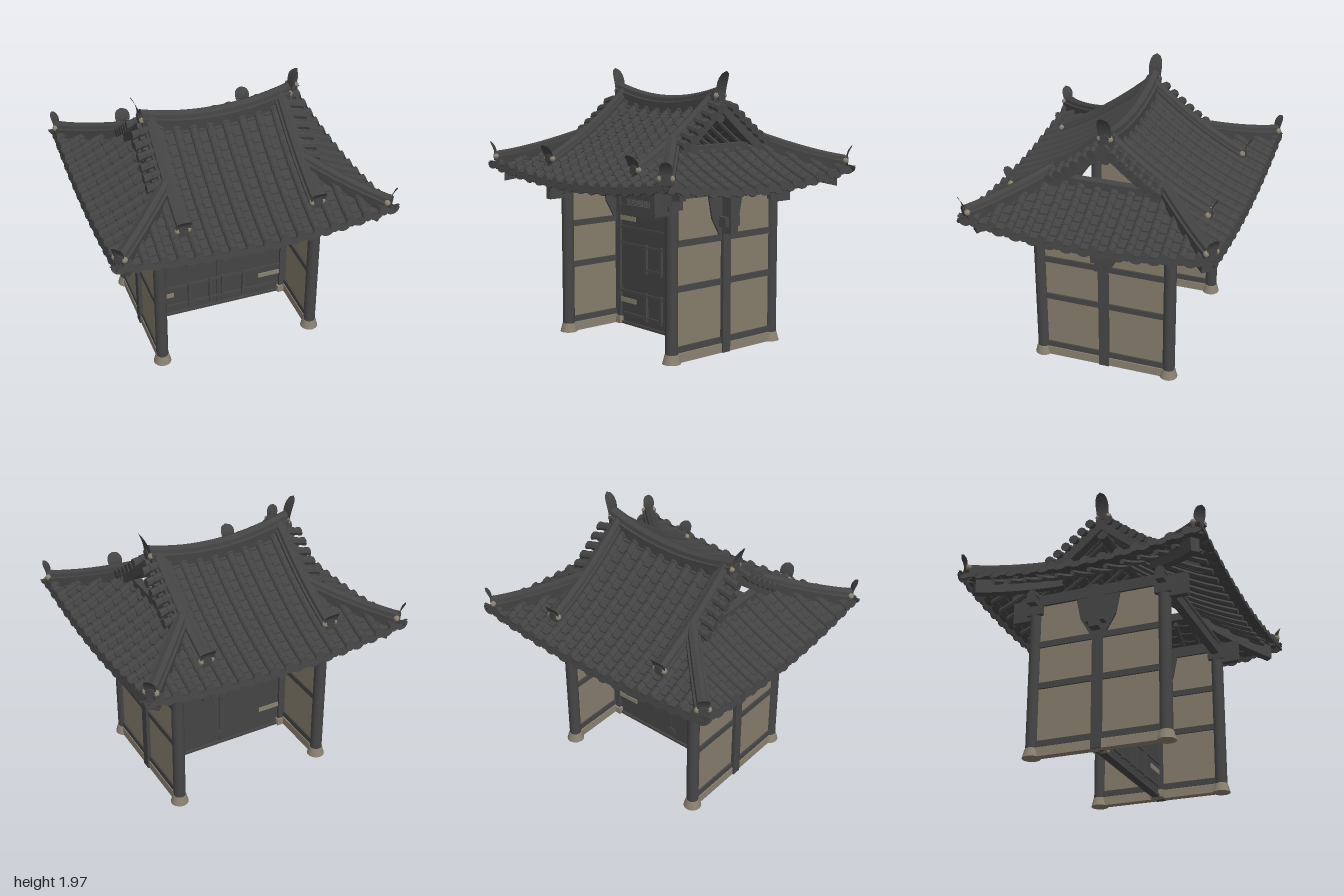
import * as THREE from 'three';
import { mergeGeometries } from 'three/addons/utils/BufferGeometryUtils.js';

const mat = (name, color, side = THREE.FrontSide) => {
  const m = new THREE.MeshStandardMaterial({ color, side });
  m.name = name;
  return m;
};
const V = (x, y, z) => new THREE.Vector3(x, y, z);
const EX = 0.98, EZ = 0.88, GABLE = 0.5, PITCH = 0.12;

// Curved roof heights: front/back slopes and the two side slopes
const rise = t => 1.19 + 0.317 * t + 0.193 * t * t;
const mainY = (x, z) => { const t = (EZ - Math.abs(z)) / EZ; return rise(t) + x * x * (0.09 + 0.19 * t * t); };
const sideY = (x, z) => { const t = (EX - Math.abs(x)) / EZ; return rise(t) + z * z * (0.112 + 0.4 * t * t); };

// Sweeps a cross-section [across, up] along points, flat shaded with end caps
function sweep(pts, side, section, scales) {
  const pos = [], n = section.length;
  const rings = pts.map((p, i) => section.map(([u, v]) => {
    const s = scales ? scales[i] : 1;
    return p.clone().addScaledVector(side, u * s).add(V(0, v * s, 0));
  }));
  const tri = (...c) => c.forEach(p => pos.push(p.x, p.y, p.z));
  for (let i = 0; i + 1 < rings.length; i++) for (let j = 0; j + 1 < n; j++) {
    const a = rings[i], b = rings[i + 1];
    tri(a[j], b[j], b[j + 1]);
    tri(a[j], b[j + 1], a[j + 1]);
  }
  for (const r of [rings[0], rings[rings.length - 1]])
    for (let j = 1; j + 1 < n; j++) tri(r[0], r[j], r[j + 1]);
  const g = new THREE.BufferGeometry();
  g.setAttribute('position', new THREE.Float32BufferAttribute(pos, 3));
  g.computeVertexNormals();
  return g;
}
const plain = g => { const p = g.index ? g.toNonIndexed() : g; p.deleteAttribute('uv'); return p; };
const line = (n, f) => Array.from({ length: n + 1 }, (_, i) => f(i / n));
const arc = (r, n) => line(n, t => [-r * Math.cos(Math.PI * t), r * Math.sin(Math.PI * t)]);
const loop = (w, y0, y1) => [[-w, y0], [-w, y1], [w, y1], [w, y0], [-w, y0]];

export function createModel() {
  const root = new THREE.Group();
  const wood = mat('dark timber', 0x464646, THREE.DoubleSide);
  const tile = mat('roof tile', 0x434343, THREE.DoubleSide);
  const door = mat('door board', 0x444444);
  const plaster = mat('plaster', 0x867d6c);
  const stone = mat('pale stone', 0x8a8171);
  const add = (name, geo, m, x = 0, y = 0, z = 0) => {
    const o = new THREE.Mesh(geo, m);
    o.name = name; o.position.set(x, y, z); root.add(o);
    return o;
  };
  // Box given by its limits
  const box = (name, m, x0, x1, y0, y1, z0, z1) => add(name, new THREE.BoxGeometry(x1 - x0, y1 - y0, z1 - z0), m,
    (x0 + x1) / 2, (y0 + y1) / 2, (z0 + z1) / 2);

  // Corner posts, stone bases and bracket blocks
  for (const sx of [-1, 1]) for (const sz of [-1, 1]) {
    const x = sx * 0.585, z = sz * 0.48;
    add('postBase', new THREE.CylinderGeometry(0.048, 0.065, 0.065, 20), stone, x, 0.0325, z);
    add('cornerPost', new THREE.CylinderGeometry(0.044, 0.044, 1.1, 20), wood, x, 0.6, z);
    box('capital', wood, x - 0.045, x + 0.045, 1.05, 1.12, z - 0.06, z + 0.06);
    box('bracketAlong', wood, x - 0.11, x + 0.11, 1.12, 1.17, z - 0.03, z + 0.03);
    box('beamEnd', wood, x - 0.025, x + 0.025, 1.02, 1.18, z + sz * 0.08 - 0.09, z + sz * 0.08 + 0.09);
  }

  // Plastered side walls with rails, centre post and flared bracket
  for (const s of [-1, 1]) {
    const x = s * 0.585;
    box('sideSill', stone, x - 0.03, x + 0.03, 0, 0.065, -0.44, 0.44);
    box('sidePanel', plaster, x - 0.012, x + 0.012, 0.065, 1.12, -0.45, 0.45);
    for (const y of [0.09, 0.51, 0.82]) box('sideRail', wood, x - 0.025, x + 0.025, y - 0.022, y + 0.022, -0.45, 0.45);
    box('sideTopBeam', wood, x - 0.03, x + 0.03, 1.12, 1.2, -0.5, 0.5);
    box('centrePost', wood, x - 0.04, x + 0.04, 0, 1.14, -0.036, 0.036);
    box('centreBase', stone, x - s * 0.04 - 0.04, x - s * 0.04 + 0.04, 0, 0.055, -0.05, 0.05);
    const flare = new THREE.Shape([[-0.165, 1.13], [-0.13, 0.96], [-0.06, 0.84], [0.06, 0.84], [0.13, 0.96], [0.165, 1.13]]
      .map(p => new THREE.Vector2(...p)).reverse());
    const f = add('flaredBracket', new THREE.ExtrudeGeometry(flare, { depth: 0.05, bevelEnabled: false }), wood, x - 0.025);
    f.rotation.y = Math.PI / 2;
    box('bracketBoard', wood, s > 0 ? 0.54 : -0.695, s > 0 ? 0.695 : -0.54, 0.85, 1.17, -0.035, 0.035);
    box('bracketBlock', wood, x + s * 0.06 - 0.03, x + s * 0.06 + 0.03, 0.9, 0.97, -0.07, 0.07);
    // Long beams and round purlins over the posts
    box('longBeam', wood, -0.63, 0.63, 1.09, 1.16, s * 0.48 - 0.03, s * 0.48 + 0.03);
    add('purlin', new THREE.CylinderGeometry(0.035, 0.035, 1.36, 14), wood, 0, 1.19, s * 0.48).rotation.z = Math.PI / 2;
    box('doorJamb', wood, s * 0.545 - 0.025, s * 0.545 + 0.025, 0, 1.08, -0.035, 0.035);
  }

  // Door leaves with ribs, hinge straps and handles
  for (const s of [-1, 1]) {
    box('doorLeaf', door, s * 0.266 - 0.264, s * 0.266 + 0.264, 0.015, 0.85, -0.015, 0.015);
    for (const y of [0.19, 0.83]) for (const z of [-0.022, 0.022])
      box('hingeStrap', stone, s * 0.445 - 0.1, s * 0.445 + 0.1, y - 0.018, y + 0.018, z - 0.004, z + 0.004);
    for (const x of [0.05, 0.22]) for (const y of [0.17, 0.54])
      box('doorRib', wood, s * x - 0.011, s * x + 0.011, y - 0.11, y + 0.11, 0.014, 0.036);
    box('doorBar', wood, s * 0.14 - 0.01, s * 0.14 + 0.01, 0.45, 0.66, -0.035, -0.014);
    add('handlePlate', new THREE.CylinderGeometry(0.03, 0.03, 0.008, 16), wood, s * 0.04, 0.46, -0.019).rotation.x = Math.PI / 2;
    add('handleRing', new THREE.TorusGeometry(0.024, 0.005, 6, 18), wood, s * 0.04, 0.43, -0.028);
  }
  for (const [y, w] of [[0.76, 0.53], [0.63, 0.53], [0.455, 0.25], [0.26, 0.53], [0.085, 0.5]])
    box('doorRail', wood, -w, w, y - 0.01, y + 0.01, 0.01, 0.026);
  add('doorLatch', new THREE.CylinderGeometry(0.045, 0.045, 0.008, 16, 1, false, Math.PI / 2, Math.PI), wood, 0, 0.07, -0.02).rotation.x = Math.PI / 2;
  box('threshold', wood, -0.53, 0.53, 0, 0.02, -0.03, 0.03);
  box('lowerLintel', wood, -0.54, 0.54, 0.85, 0.935, -0.03, 0.03);
  box('upperLintel', wood, -0.54, 0.54, 0.995, 1.085, -0.035, 0.035);

  // Open lattice between the lintels
  for (const s of [-1, 1]) box('latticeEnd', wood, s * 0.495 - 0.045, s * 0.495 + 0.045, 0.93, 1, -0.02, 0.02);
  const slats = [];
  for (let i = 0; i < 48; i++) for (const s of [-1, 1]) {
    const g = new THREE.BoxGeometry(0.0045, 0.085, 0.006);
    g.rotateZ(s * Math.PI / 4);
    g.translate(-0.45 + i * 0.9 / 47, 0.965, s * 0.003);
    slats.push(g);
  }
  add('lattice', mergeGeometries(slats), wood);

  // Roof rows: half-round tiles, troughs between them, eave ends and rafters
  const rounds = [], troughs = [], ends = [], rafters = [];
  const half = arc(1, 6), trough = [[-0.062, 0.008], [-0.025, -0.008], [0.025, -0.008], [0.062, 0.008]];
  const rafterSection = line(6, t => [0.02 * Math.cos(t * 2 * Math.PI), 0.02 * Math.sin(t * 2 * Math.PI) - 0.055]);
  // at(d) is the roof point at distance d from the centre, out is the downhill direction
  function row(at, start, eave, out, kind) {
    const side = V(Math.abs(out.z), 0, Math.abs(out.x)), yaw = Math.atan2(out.x, out.z);
    if (kind === 'rafter') {
      if (eave - 0.07 - start > 0.04) rafters.push(sweep(line(6, t => at(start + (eave - 0.07 - start) * t)), side, rafterSection));
      return;
    }
    const pts = [], scales = [], n = Math.max(1, Math.round((eave - start) / 0.068));
    for (let i = 0; i < n; i++) for (const k of [0, 1]) {
      const p = at(start + (eave - start) * (i + k) / n);
      p.y += kind === 'trough' ? 0.01 * k - 0.004 : 0;
      pts.push(p);
      scales.push(kind === 'trough' ? 1 : 0.029 + 0.006 * k);
    }
    const tip = at(eave);
    let g;
    if (kind === 'round') {
      rounds.push(sweep(pts, side, half, scales));
      g = new THREE.CylinderGeometry(0.036, 0.036, 0.014, 12).rotateX(Math.PI / 2);
    } else {
      troughs.push(sweep(pts, side, trough));
      g = new THREE.CylinderGeometry(0.056, 0.056, 0.01, 12, 1, false, -Math.PI / 2, Math.PI).rotateX(Math.PI / 2).scale(1, 0.85, 1);
    }
    g.rotateX(-0.25).rotateY(yaw).translate(tip.x, tip.y + 0.005, tip.z);
    ends.push(plain(g));
  }
  for (const s of [-1, 1]) {
    for (let k = -16; k <= 16; k++) {
      const c = k * PITCH / 2, kind = k % 2 ? 'round' : 'trough', a = Math.abs(c);
      const mainRow = (kd, x) => row(d => V(x, mainY(x, d), s * d), Math.abs(x) < GABLE ? 0 : Math.abs(x) - 0.1, EZ, V(0, 0, s), kd);
      mainRow(kind, c);
      if (k % 2) mainRow('rafter', c * 0.98);
      if (a < 0.87) {
        const sideRow = kd => row(d => V(s * d, sideY(d, c), c), Math.max(GABLE, a + 0.1), EX, V(s, 0, 0), kd);
        sideRow(kind);
        if (k % 2) sideRow('rafter');
      }
    }
    // Short tiles along the gable edges
    for (const sz of [-1, 1]) for (let i = 0; i < 6; i++) {
      const z = 0.07 + i * 0.062, y = mainY(0.5, z);
      const pts = [[0.5, 0.03], [0.57, 0.015], [0.57, 0.015], [0.625, 0]].map(([x, dy]) => V(s * x, y + dy, sz * z));
      rounds.push(sweep(pts, V(0, 0, 1), line(8, t => [Math.cos(t * 2 * Math.PI), Math.sin(t * 2 * Math.PI)]), [0.026, 0.033, 0.027, 0.034]));
    }
    rafters.push(sweep(line(6, t => V(s * 0.53, mainY(0.5, t * 0.38) - 0.04, t * 0.38)), V(1, 0, 0), loop(0.04, -0.05, 0.03)));
    rafters.push(sweep(line(6, t => V(s * 0.53, mainY(0.5, t * 0.38) - 0.04, -t * 0.38)), V(1, 0, 0), loop(0.04, -0.05, 0.03)));
    box('gableBeam', wood, s * 0.51 - 0.03, s * 0.51 + 0.03, 1.4, 1.46, -0.3, 0.3);
  }
  add('roundTiles', mergeGeometries(rounds), tile);
  add('troughTiles', mergeGeometries(troughs), tile);
  add('eaveTiles', mergeGeometries(ends), tile);
  add('rafters', mergeGeometries(rafters), wood);
  add('ridgePurlin', new THREE.CylinderGeometry(0.04, 0.04, 1.1, 12), wood, 0, 1.645, 0).rotation.z = Math.PI / 2;

  // Leaf-shaped finial that curls outward, with pale mortar at its foot
  function finial(p, yaw, h, w, lean) {
    const g = new THREE.PlaneGeometry(2, 1, 4, 10), q = g.attributes.position;
    for (let i = 0; i < q.count; i++) {
      const v = q.getY(i) + 0.5;
      q.setXYZ(i, q.getX(i) * w * Math.sqrt(Math.max(0, 1 - v ** 2.4)) * (0.85 + 0.4 * v), v * h, lean * v * v);
    }
    g.computeVertexNormals();
    const grp = new THREE.Group();
    grp.name = 'ridgeFinial';
    const put = (name, geo, m, x, y, z) => {
      const o = new THREE.Mesh(geo, m);
      o.name = name; o.position.set(x, y, z); grp.add(o);
      return o;
    };
    put('finialLeaf', g, tile, 0, 0, 0.012);
    for (const s of [-1, 1]) put('finialMortar', new THREE.SphereGeometry(0.022, 10, 8), stone, s * 0.036, -0.015, 0);
    put('finialDisc', new THREE.CylinderGeometry(0.035, 0.035, 0.03, 14), tile, 0, -0.015, 0.005).rotation.x = Math.PI / 2;
    grp.position.copy(p);
    grp.rotation.y = yaw;
    root.add(grp);
  }

  // Main ridge, descending ridges and hip ridges
  const ridge = (w, h) => [[-w, -0.03], [-w, 0.5 * h], [-0.72 * w, 0.55 * h], [-0.62 * w, 0.82 * h], [0, h],
    [0.62 * w, 0.82 * h], [0.72 * w, 0.55 * h], [w, 0.5 * h], [w, -0.03]];
  add('mainRidge', sweep(line(16, t => { const x = 1.08 * t - 0.54; return V(x, 1.68 + 0.28 * x * x, 0); }), V(0, 0, 1), ridge(0.056, 0.1)), tile);
  for (const sx of [-1, 1]) {
    finial(V(sx * 0.54, 1.81, 0), sx * Math.PI / 2, 0.155, 0.052, 0.055);
    for (const sz of [-1, 1]) {
      add('descendingRidge', sweep(line(12, t => { const z = 0.03 + 0.68 * t; return V(sx * 0.48, mainY(0.48, z) - 0.005, sz * z); }),
        V(1, 0, 0), ridge(0.052, 0.09)), tile);
      finial(V(sx * 0.48, 1.345, sz * 0.71), sz > 0 ? 0 : Math.PI, 0.085, 0.06, 0.05);
      const across = V(sx, 0, -sz).normalize(), yaw = Math.atan2(sx, sz);
      const hip = (d, dy) => V(sx * (d + 0.1), mainY(d + 0.1, d) + dy, sz * d);
      add('hipRidge', sweep(line(10, t => hip(0.38 + 0.47 * t, -0.005)), across, ridge(0.05, 0.085)), tile);
      finial(hip(0.85, 0.055), yaw, 0.095, 0.045, 0.04);
      add('cornerRafter', sweep(line(6, t => hip(0.36 + 0.45 * t, -0.05)), across, loop(0.032, -0.1, 0)), wood);
    }
  }
  return root;
}
